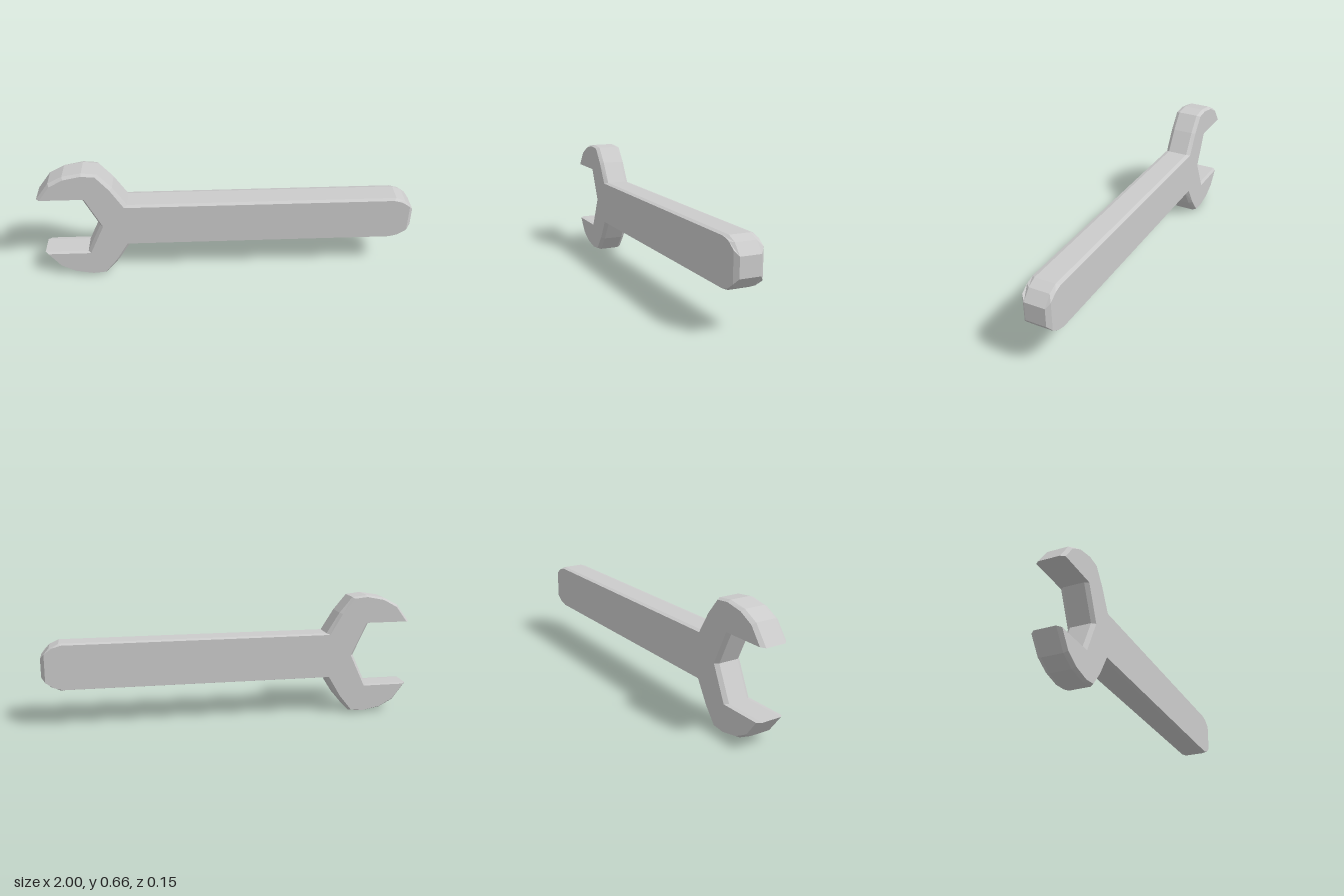
import * as THREE from 'three';

const CENTRE_Y = 0.33;

// Upper half of the outline, from the jaw notch round to the handle end.
// Each row: x, y at mid thickness, then x, y on the bevelled-in flat face.
const HALF = [
  [-0.683, 0, -0.667, 0],
  [-0.765, 0.176, -0.75, 0.179],
  [-1.0, 0.176, -0.982, 0.179],
  [-0.928, 0.272, -0.92, 0.262],
  [-0.85, 0.313, -0.845, 0.303],
  [-0.75, 0.33, -0.75, 0.322],
  [-0.67, 0.321, -0.68, 0.315],
  [-0.6, 0.237, -0.614, 0.233],
  [-0.53, 0.125, -0.546, 0.119],
  [0.905, 0.125, 0.89, 0.119],
  [0.955, 0.103, 0.937, 0.106],
  [1.0, 0.05, 0.98, 0.076],
];

// Joins a stack of outline rings with flat-shaded walls and caps both ends.
function loftRings(rings) {
  const pos = [];
  const tri = (a, b, c) => pos.push(...a, ...b, ...c);
  const n = rings[0].length;
  for (let r = 0; r < rings.length - 1; r++) {
    const lo = rings[r], hi = rings[r + 1];
    for (let i = 0; i < n; i++) {
      const j = (i + 1) % n;
      tri(lo[i], lo[j], hi[j]);
      tri(lo[i], hi[j], hi[i]);
    }
  }
  const back = rings[0], front = rings[rings.length - 1];
  const flat = front.map(([x, y]) => new THREE.Vector2(x, y));
  for (const [a, b, c] of THREE.ShapeUtils.triangulateShape(flat, [])) {
    tri(front[a], front[b], front[c]);
    tri(back[c], back[b], back[a]);
  }
  const geo = new THREE.BufferGeometry();
  geo.setAttribute('position', new THREE.Float32BufferAttribute(pos, 3));
  geo.computeVertexNormals();
  return geo;
}

export function createModel() {
  const group = new THREE.Group();
  group.name = 'wrench';

  // Mirror the half outline below the centre line, counter-clockwise from the front
  const mirrored = HALF.slice(1).reverse().map(([x, y, fx, fy]) => [x, -y, fx, -fy]);
  const outline = [...HALF, ...mirrored].reverse();
  const ring = (z, onFace) => outline.map(([x, y, fx, fy]) =>
    (onFace ? [fx, CENTRE_Y + fy, z] : [x, CENTRE_Y + y, z]));

  // Open jaw and handle in one bevelled piece
  const body = new THREE.Mesh(
    loftRings([ring(-0.075, true), ring(-0.055, false), ring(0.055, false), ring(0.075, true)]),
    new THREE.MeshStandardMaterial({ color: 0xcccccc, flatShading: true }),
  );
  body.name = 'jawAndHandle';
  group.add(body);
  return group;
}
